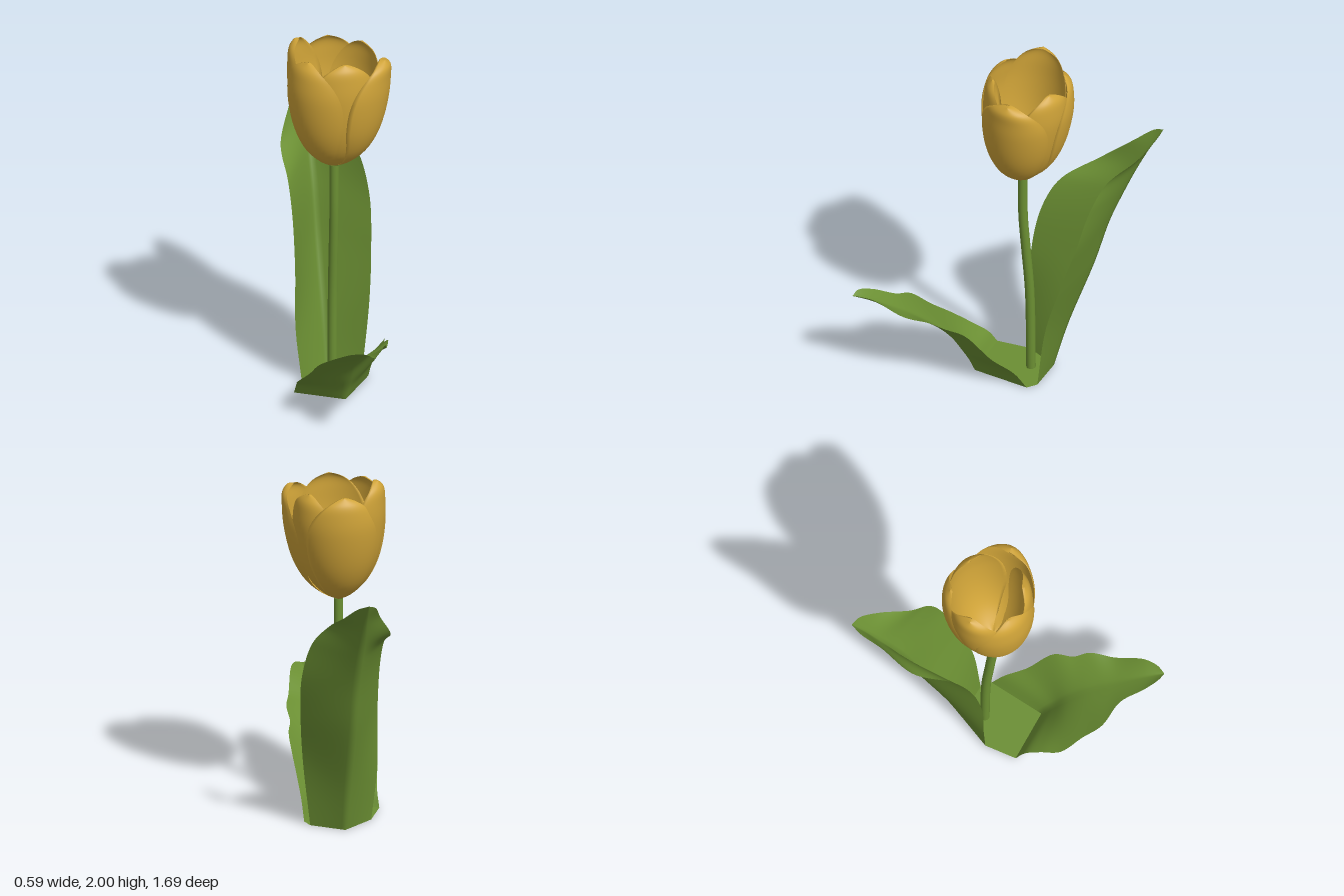
import * as THREE from 'three';

const petalGold = new THREE.MeshStandardMaterial({ color: 0xcfa338, side: THREE.DoubleSide });
petalGold.name = 'petal gold';
const leafGreen = new THREE.MeshStandardMaterial({ color: 0x6b8f33, side: THREE.DoubleSide });
leafGreen.name = 'leaf green';

// Smooth sheet from a rule: f(u, v) -> Vector3, u along, v across
function sheet(f, nu, nv) {
  const pos = [], idx = [];
  for (let i = 0; i <= nu; i++)
    for (let j = 0; j <= nv; j++) pos.push(...f(i / nu, j / nv).toArray());
  for (let i = 0; i < nu; i++)
    for (let j = 0; j < nv; j++) {
      const a = i * (nv + 1) + j, b = a + nv + 1;
      idx.push(a, b, a + 1, a + 1, b, b + 1);
    }
  const g = new THREE.BufferGeometry();
  g.setAttribute('position', new THREE.Float32BufferAttribute(pos, 3));
  g.setIndex(idx);
  g.computeVertexNormals();
  return g;
}

function part(name, geometry, material) {
  const m = new THREE.Mesh(geometry, material);
  m.name = name;
  return m;
}

const curve = (pts) => new THREE.CatmullRomCurve3(pts.map((p) => new THREE.Vector3(...p)));

// Leaf lofted between two edges and a keel; the keel is sharp at the foot, then rounds by fold
function leaf(name, right, keel, left, fold) {
  const [R, K, L] = [right, keel, left].map(curve);
  return part(name, sheet((u, v) => {
    const s = v * 2 - 1, a = Math.abs(s);
    const b = Math.pow(a, 1 + (fold - 1) * Math.min(1, u * 4));
    const k = K.getPoint(u), e = (s < 0 ? R : L).getPoint(u);
    return new THREE.Vector3(
      k.x + (e.x - k.x) * a,
      k.y + (e.y - k.y) * b,
      k.z + (e.z - k.z) * b);
  }, 54, 20), leafGreen);
}

// Petal profile round the cup axis: radius and height fraction
const cup = new THREE.SplineCurve([
  [0.008, 0], [0.085, 0.06], [0.162, 0.17], [0.217, 0.32],
  [0.252, 0.5], [0.27, 0.7], [0.265, 0.85], [0.25, 0.94], [0.215, 1],
].map((p) => new THREE.Vector2(...p)));

// Closed petal: v runs across the outer face, then back across the inner face
function petal(name, degrees, scale, top, halfWidth, edgeIn, flare) {
  const base = 1.28, thickness = 0.03;
  return part(name, sheet((u, v) => {
    const p = cup.getPoint(1 - Math.pow(1 - u, 1.6));
    const h = Math.min(p.y, 1);
    const inner = v > 0.5;
    const s = inner ? 3 - 4 * v : 4 * v - 1;
    const q = Math.max(0, (h - 0.47) / 0.53);
    const width = halfWidth * (0.8 + 0.2 * Math.min(1, h / 0.4)) * Math.pow(Math.max(0, 1 - Math.pow(q, 2.4)), 0.6);
    const angle = THREE.MathUtils.degToRad(degrees + width * s);
    const depth = inner ? thickness * (1 - s * s) * (1 - Math.pow(q, 4)) : 0;
    const spread = scale * (1 - edgeIn * s * s) * (1 + flare * Math.pow(h, 8));
    const r = Math.max(0.002, p.x * spread - depth);
    return new THREE.Vector3(
      0.018 * h + r * Math.cos(angle),
      base + (top - base) * h,
      -0.08 - 0.03 * h + r * 0.95 * Math.sin(angle));
  }, 36, 40), petalGold);
}

export function createModel() {
  const model = new THREE.Group();
  model.name = 'tulip';

  // Stem, leaning slightly forward to the bloom
  const path = curve([[0, 0, -0.125], [0, 0.5, -0.118], [0, 0.8, -0.097],
    [0, 1.02, -0.082], [0, 1.285, -0.08]]);
  model.add(part('stem', new THREE.TubeGeometry(path, 32, 0.026, 14), leafGreen));

  // Tall leaf behind the stem
  model.add(leaf('backLeaf',
    [[-0.17, 0, -0.13], [-0.2, 0.3, -0.14], [-0.2, 0.65, -0.15], [-0.2, 0.93, -0.21], [-0.2, 1.1, -0.31],
      [-0.19, 1.23, -0.52], [-0.095, 1.4, -0.69], [-0.045, 1.5, -0.8], [0, 1.53, -0.845]],
    [[0, 0, -0.25], [0, 0.28, -0.33], [0, 0.67, -0.47], [0, 0.95, -0.555], [0, 1.13, -0.63],
      [0, 1.28, -0.7], [0, 1.41, -0.77], [0, 1.49, -0.82], [0, 1.53, -0.845]],
    [[0.17, 0, -0.14], [0.22, 0.4, -0.18], [0.25, 0.7, -0.26], [0.26, 0.95, -0.34], [0.22, 1.17, -0.42],
      [0.15, 1.3, -0.52], [0.105, 1.41, -0.69], [0.05, 1.5, -0.8], [0, 1.53, -0.845]], 1.15));

  // Low wavy leaf reaching forward
  model.add(leaf('frontLeaf',
    [[-0.25, 0, 0.03], [-0.25, 0.07, 0.08], [-0.265, 0.12, 0.16], [-0.29, 0.18, 0.27], [-0.25, 0.28, 0.39],
      [-0.22, 0.38, 0.5], [-0.12, 0.46, 0.6], [-0.08, 0.53, 0.73], [-0.04, 0.56, 0.81], [0, 0.55, 0.845]],
    [[0, 0, 0.18], [0, 0.07, 0.21], [0, 0.14, 0.25], [0, 0.24, 0.315], [0, 0.325, 0.4],
      [0, 0.395, 0.5], [0, 0.45, 0.6], [0, 0.515, 0.74], [0, 0.54, 0.81], [0, 0.55, 0.845]],
    [[0.19, 0, -0.08], [0.19, 0.1, -0.01], [0.19, 0.2, 0.11], [0.2, 0.38, 0.26], [0.17, 0.41, 0.36],
      [0.17, 0.46, 0.45], [0.13, 0.48, 0.58], [0.08, 0.57, 0.74], [0.04, 0.57, 0.81], [0, 0.55, 0.845]], 1.3));

  // Flat base joining the feet of both leaves
  const foot = new THREE.Shape([[0.19, -0.08], [0.17, -0.14], [0, -0.25], [-0.17, -0.13],
    [-0.25, 0.03], [0, 0.18]].map(([x, z]) => new THREE.Vector2(x, -z)));
  model.add(part('base', new THREE.ShapeGeometry(foot).rotateX(-Math.PI / 2), leafGreen));

  // Bloom: three outer petals over three inner ones (90 degrees faces the front)
  const bloom = new THREE.Group();
  bloom.name = 'bloom';
  bloom.add(
    petal('outerPetalFrontLeft', 32, 1.09, 1.93, 56, 0.12, 0.2),
    petal('outerPetalFrontRight', 148, 1.01, 1.945, 56, 0.06, 0),
    petal('outerPetalBack', 270, 0.99, 1.95, 56, 0.06, 0),
    petal('innerPetalFront', 90, 0.92, 1.95, 58, 0.06, 0.06),
    petal('innerPetalBackLeft', 330, 0.92, 1.945, 58, 0.06, 0),
    petal('innerPetalBackRight', 208, 0.97, 2.0, 58, 0.12, 0.12));
  model.add(bloom);

  return model;
}
